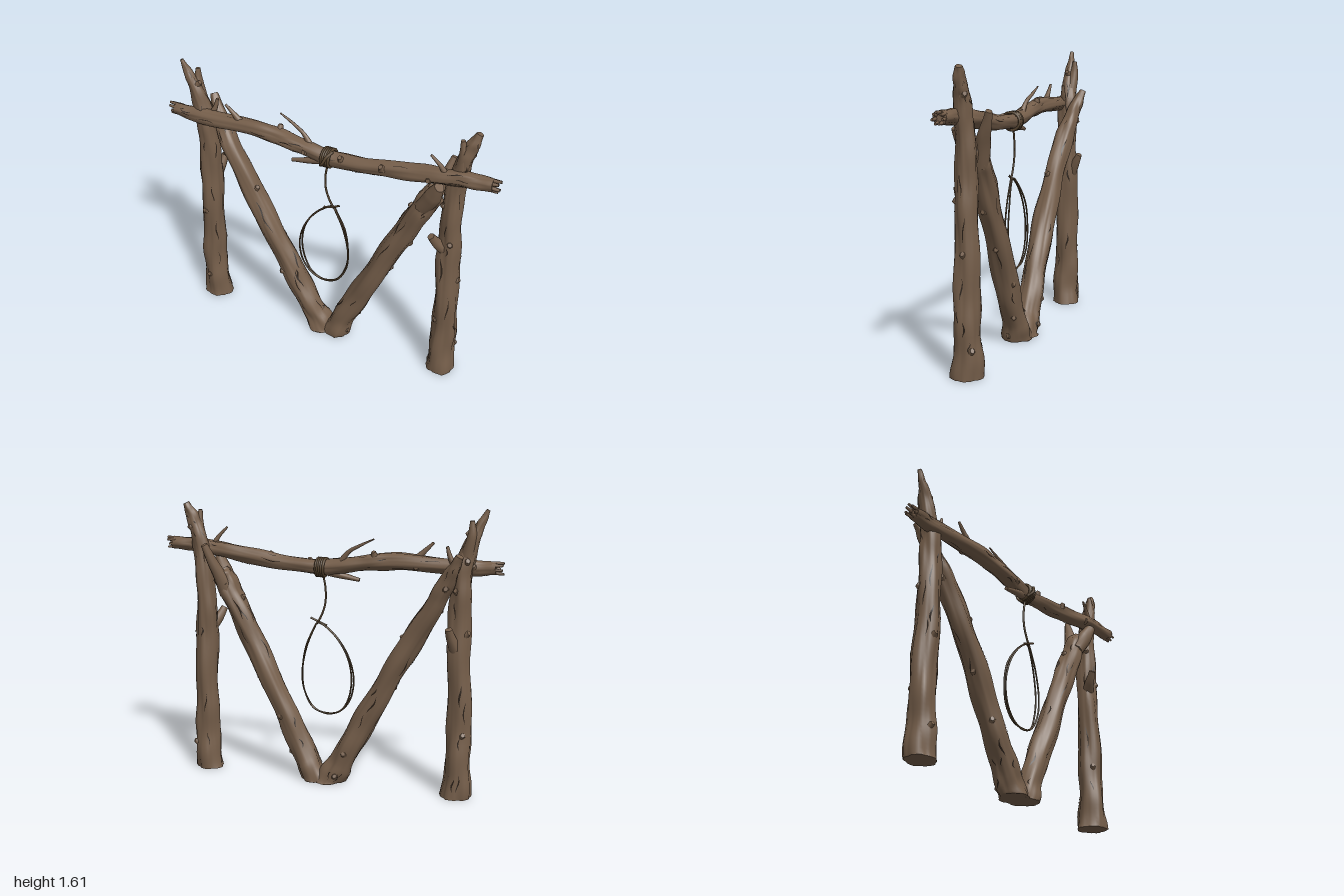
import * as THREE from 'three';

const wood = new THREE.MeshStandardMaterial({ color: 0x755e4a });
wood.name = 'bark brown';
const crack = new THREE.MeshStandardMaterial({ color: 0x2c221a, side: THREE.DoubleSide });
crack.name = 'dark crack';
const rope = new THREE.MeshStandardMaterial({ color: 0x56442f });
rope.name = 'rope brown';

let seed = 7;
const rnd = () => (seed = (seed * 16807) % 2147483647) / 2147483647;
const V = (x, y, z) => new THREE.Vector3(x, y, z);

// Surface of a gnarled log along points [x, y, z, radius]
function logSurface(pts, rough, phase) {
  const curve = new THREE.CatmullRomCurve3(pts.map(p => V(p[0], p[1], p[2])));
  const n = pts.length - 1, a0 = pts[0], a1 = pts[n];
  const dir = V(a1[0] - a0[0], a1[1] - a0[1], a1[2] - a0[2]).normalize();
  const ref = Math.abs(dir.z) > 0.7 ? V(0, 1, 0) : V(0, 0, 1);
  const len = curve.getLength();
  return (u, a, lift = 0) => {
    const c = curve.getPoint(u), t = curve.getTangent(u);
    const s = t.clone().cross(ref).normalize(), w = t.clone().cross(s);
    const k = Math.min(Math.floor(u * n), n - 1);
    const r = THREE.MathUtils.lerp(pts[k][3], pts[k + 1][3], u * n - k);
    const l = u * len;
    const bump = 0.05 * Math.sin(5 * a + 2 * Math.sin(l * 6 + phase)) +
      0.035 * Math.sin(11 * a + 3 * Math.sin(l * 4 + phase)) +
      0.06 * Math.sin(l * 17 + 2 * a + phase) + 0.04 * Math.sin(l * 31 - a + phase * 2);
    const R = r * (1 + rough * bump) + lift;
    const p = c.addScaledVector(s, Math.cos(a) * R).addScaledVector(w, Math.sin(a) * R);
    p.y = Math.max(p.y, 0);
    return p;
  };
}

function geometry(pos, idx) {
  const g = new THREE.BufferGeometry();
  g.setAttribute('position', new THREE.Float32BufferAttribute(pos, 3));
  g.setIndex(idx);
  g.computeVertexNormals();
  return g;
}

// Closed log with end caps
function logMesh(name, surf, rows, sides) {
  const pos = [], idx = [], at = j => j / sides * Math.PI * 2;
  for (let i = 0; i <= rows; i++)
    for (let j = 0; j < sides; j++) pos.push(...surf(i / rows, at(j)).toArray());
  for (let i = 0; i < rows; i++)
    for (let j = 0; j < sides; j++) {
      const a = i * sides + j, b = i * sides + (j + 1) % sides;
      idx.push(a, b, a + sides, b, b + sides, a + sides);
    }
  for (const u of [0, 1]) {
    const base = pos.length / 3, mid = V(0, 0, 0);
    for (let j = 0; j < sides; j++) {
      const p = surf(u, at(j));
      mid.addScaledVector(p, 1 / sides);
      pos.push(...p.toArray());
    }
    pos.push(...mid.toArray());
    for (let j = 0; j < sides; j++) {
      const a = base + j, b = base + (j + 1) % sides;
      idx.push(base + sides, u ? a : b, u ? b : a);
    }
  }
  const m = new THREE.Mesh(geometry(pos, idx), wood);
  m.name = name;
  return m;
}

// Thin tapered wavy cracks that follow the bark
function cracks(surf, count, len) {
  const pos = [], idx = [], steps = 8;
  for (let k = 0; k < count; k++) {
    const u0 = 0.03 + rnd() * 0.85, du = (0.04 + rnd() * 0.07) / len, a0 = rnd() * Math.PI * 2;
    const base = pos.length / 3, width = 0.04 + rnd() * 0.04, ph = rnd() * 6;
    for (let i = 0; i <= steps; i++) {
      const f = i / steps, a = a0 + 0.1 * Math.sin(f * 5 + ph), h = width * Math.sin(f * Math.PI);
      const u = Math.min(u0 + du * f, 0.99);
      pos.push(...surf(u, a - h, 0.0015).toArray(), ...surf(u, a + h, 0.0015).toArray());
      if (i < steps) {
        const q = base + i * 2;
        idx.push(q, q + 1, q + 2, q + 1, q + 3, q + 2);
      }
    }
  }
  const m = new THREE.Mesh(geometry(pos, idx), crack);
  m.name = 'barkCracks';
  return m;
}

function addLog(group, name, pts, len, phase) {
  const surf = logSurface(pts, 1, phase), g = new THREE.Group();
  g.name = name;
  g.add(logMesh(name + 'Trunk', surf, 70, 30), cracks(surf, Math.round(len * 20), len));
  // small bark knots
  for (let i = 0; i < 7; i++) {
    const u = 0.1 + i * 0.11, a = rnd() * 6.28, p = surf(u, a, -0.014), q = surf(u, a, 0.009);
    q.y += 0.012;
    g.add(logMesh('knot', logSurface([[...p.toArray(), 0.024], [...q.toArray(), 0.012]], 1, i), 4, 10));
  }
  group.add(g);
}

export function createModel() {
  const model = new THREE.Group();
  model.name = 'logFrameWithRope';

  // Upright posts
  addLog(model, 'rightPost', [[-0.78, -0.01, 0.005, 0.083], [-0.785, 0.2, 0.005, 0.07], [-0.785, 0.45, 0.005, 0.066],
    [-0.77, 0.8, 0.005, 0.064], [-0.77, 1.1, 0.005, 0.058], [-0.785, 1.3, 0.005, 0.052],
    [-0.83, 1.45, 0.01, 0.036], [-0.87, 1.54, 0.015, 0.022], [-0.9, 1.605, 0.02, 0.01]], 1.6, 1);
  addLog(model, 'leftPost', [[0.74, -0.01, 0.005, 0.083], [0.745, 0.2, 0.005, 0.07], [0.745, 0.45, 0.005, 0.066],
    [0.735, 0.8, 0.005, 0.062], [0.735, 1.05, 0.005, 0.056], [0.75, 1.3, 0.005, 0.05],
    [0.785, 1.45, 0.005, 0.04], [0.815, 1.53, 0, 0.033], [0.84, 1.59, -0.01, 0.018]], 1.6, 3);

  // Slanted logs meeting at the ground
  addLog(model, 'rightDiagonal', [[-0.015, -0.03, 0.005, 0.085], [-0.1, 0.12, 0.005, 0.07], [-0.25, 0.4, 0.005, 0.066],
    [-0.45, 0.77, 0, 0.062], [-0.64, 1.1, -0.025, 0.055], [-0.73, 1.27, -0.065, 0.038], [-0.78, 1.37, -0.095, 0.02]], 1.6, 5);
  addLog(model, 'leftDiagonal', [[0.05, -0.03, 0.005, 0.085], [0.11, 0.12, 0.005, 0.068], [0.245, 0.4, 0.005, 0.066],
    [0.42, 0.77, 0.005, 0.062], [0.56, 1.05, 0.005, 0.063], [0.62, 1.17, 0.01, 0.06], [0.64, 1.21, 0.01, 0.045]], 1.35, 8);

  // Crossbeam
  addLog(model, 'crossbeam', [[-0.95, 1.295, 0.04, 0.034], [-0.8, 1.29, 0.042, 0.042], [-0.4, 1.305, 0.045, 0.046],
    [-0.2, 1.285, 0.045, 0.044], [0.03, 1.25, 0.045, 0.04], [0.3, 1.27, 0.045, 0.043],
    [0.6, 1.315, 0.045, 0.046], [0.8, 1.342, 0.045, 0.04], [0.95, 1.35, 0.04, 0.036]], 1.9, 11);

  // Branches, forks and twigs
  const limbs = {
    frontFork: [[0.58, 1.1, 0.03, 0.045], [0.64, 1.2, 0.06, 0.045], [0.68, 1.28, 0.08, 0.028]],
    backFork: [[0.59, 1.08, -0.01, 0.045], [0.65, 1.24, -0.055, 0.034], [0.69, 1.365, -0.1, 0.018]],
    leftPostProng: [[0.77, 1.38, 0.02, 0.035], [0.772, 1.47, 0.022, 0.024], [0.765, 1.55, 0.025, 0.012]],
    rightPostProng: [[-0.8, 1.36, -0.01, 0.036], [-0.825, 1.47, -0.02, 0.026], [-0.825, 1.55, -0.025, 0.012]],
    leftPostBranch: [[0.72, 0.85, 0.02, 0.035], [0.685, 0.91, 0.06, 0.028], [0.66, 0.97, 0.095, 0.019]],
    rightPostBranch: [[-0.76, 0.84, -0.02, 0.035], [-0.74, 0.92, -0.065, 0.026], [-0.73, 0.975, -0.09, 0.019]],
    twigA: [[-0.5, 1.31, 0.05, 0.024], [-0.55, 1.36, 0.052, 0.014], [-0.605, 1.415, 0.055, 0.007]],
    twigB: [[-0.07, 1.26, 0.04, 0.022], [-0.13, 1.345, 0.03, 0.011], [-0.2, 1.385, 0.02, 0.009], [-0.28, 1.425, 0.015, 0.004]],
    twigC: [[0, 1.23, 0.05, 0.025], [-0.09, 1.205, 0.06, 0.018], [-0.185, 1.185, 0.065, 0.011]],
    twigD: [[0.71, 1.33, 0.05, 0.02], [0.67, 1.395, 0.06, 0.012], [0.62, 1.45, 0.07, 0.006]],
    twigE: [[-0.73, 1.3, 0.02, 0.02], [-0.705, 1.35, 0.01, 0.014], [-0.69, 1.405, 0.005, 0.008]],
  };
  let ph = 0;
  for (const [name, pts] of Object.entries(limbs))
    model.add(logMesh(name, logSurface(pts, 1, ph++), 14, 12));

  // Splintered beam ends
  for (const [x, y, d] of [[-0.93, 1.295, -1], [0.93, 1.35, 1]])
    for (let i = 0; i < 7; i++) {
      const a = i * 0.9, r = 0.024, cy = y + Math.cos(a) * r, cz = 0.04 + Math.sin(a) * r;
      const end = x + d * (0.04 + rnd() * 0.025);
      model.add(logMesh('splinter', logSurface([[x, cy, cz, 0.013], [end, cy + Math.cos(a) * 0.006, cz, 0.007]], 1, i), 4, 7));
    }

  // Rope wound round the beam
  const addRope = (name, pts, r, closed = false) => {
    const c = new THREE.CatmullRomCurve3(pts.map(p => V(...p)), closed);
    const m = new THREE.Mesh(new THREE.TubeGeometry(c, pts.length * 8, r, 8, closed), rope);
    m.name = name;
    model.add(m);
  };
  const coil = [];
  for (let i = 0; i <= 60; i++) {
    const a = i / 60 * Math.PI * 10;
    coil.push([0.002 + i / 60 * 0.055, 1.25 - Math.cos(a) * 0.05, 0.045 + Math.sin(a) * 0.05]);
  }
  addRope('ropeCoil', coil, 0.008);
  addRope('ropeCrossing', [[-0.005, 1.21, 0.08], [0.02, 1.24, 0.105], [0.04, 1.28, 0.095], [0.06, 1.3, 0.06]], 0.008);

  // Hanging rope, knot tail and double loop
  addRope('hangingRope', [[0.025, 1.21, 0.045], [0.01, 1.13, 0.045], [0.012, 1.04, 0.045], [0.04, 0.96, 0.045], [0.065, 0.92, 0.045]], 0.006);
  addRope('knotTail', [[0.0, 0.915, 0.045], [0.05, 0.932, 0.05], [0.1, 0.955, 0.045]], 0.006);
  for (const s of [0, 1]) {
    const k = s * 0.008;
    addRope('ropeLoop', [[0.055, 0.93, 0.045 - k], [-0.03, 0.88, 0.045 - k], [-0.12, 0.76, 0.045 - k * 2],
      [-0.16 + k, 0.62, 0.045 - k * 2], [-0.14 + k, 0.49, 0.045 - k * 2], [-0.08, 0.415, 0.045 - k],
      [0, 0.39 + k / 2, 0.045], [0.08, 0.42, 0.045 - k], [0.14 - k, 0.52, 0.045 - k * 2],
      [0.153 - k, 0.63, 0.045 - k * 2], [0.125, 0.78, 0.045 - k * 2], [0.08, 0.89, 0.045 - k]], 0.005, true);
  }
  return model;
}
